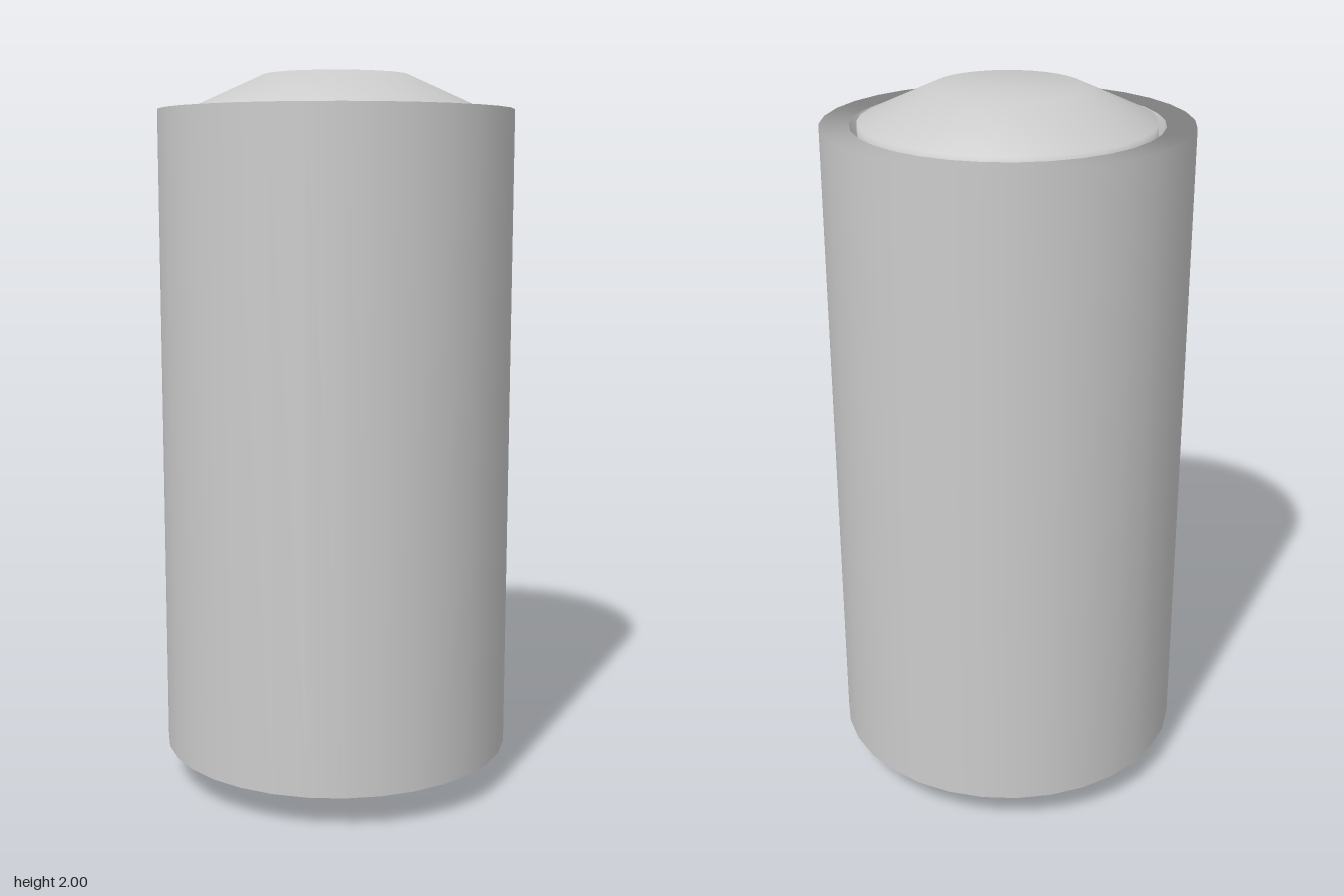
import * as THREE from 'three';

const SEGMENTS = 32;
const RADIUS = 0.495, RIM = 0.416, SEAT = 0.396;
const TOP = 1.904, SEAT_Y = 1.86;

export function createModel() {
  const group = new THREE.Group();
  const material = new THREE.MeshStandardMaterial({ color: 0xcccccc, side: THREE.DoubleSide });

  // Revolve a profile that runs upward; flip mirrors it to the other end
  function revolve(name, profile, flip = false) {
    const points = profile.map(([r, y]) => new THREE.Vector2(r, flip ? 2 - y : y));
    if (flip) points.reverse();
    const mesh = new THREE.Mesh(new THREE.LatheGeometry(points, SEGMENTS), material);
    mesh.name = name;
    group.add(mesh);
    return mesh;
  }

  // Outer shell with flat rims, shaded softly around its edges
  const body = revolve('body', [[RIM, 2 - TOP], [RADIUS, 2 - TOP], [RADIUS, TOP], [RIM, TOP]]);
  const { position, normal } = body.geometry.attributes;
  for (let i = 0; i < position.count; i++) {
    const n = new THREE.Vector3(position.getX(i), 0, position.getZ(i)).normalize();
    normal.setXYZ(i, n.x, n.y, n.z);
  }

  // Each end: narrow tapered groove around a domed cap
  for (const [end, flip] of [['top', false], ['bottom', true]]) {
    revolve(end + 'Groove', [[RIM, TOP], [SEAT, SEAT_Y]], flip);
    revolve(end + 'Dome', [[SEAT, SEAT_Y], [SEAT, 1.911], [0.2, 2], [0, 2]], flip);
  }
  return group;
}
